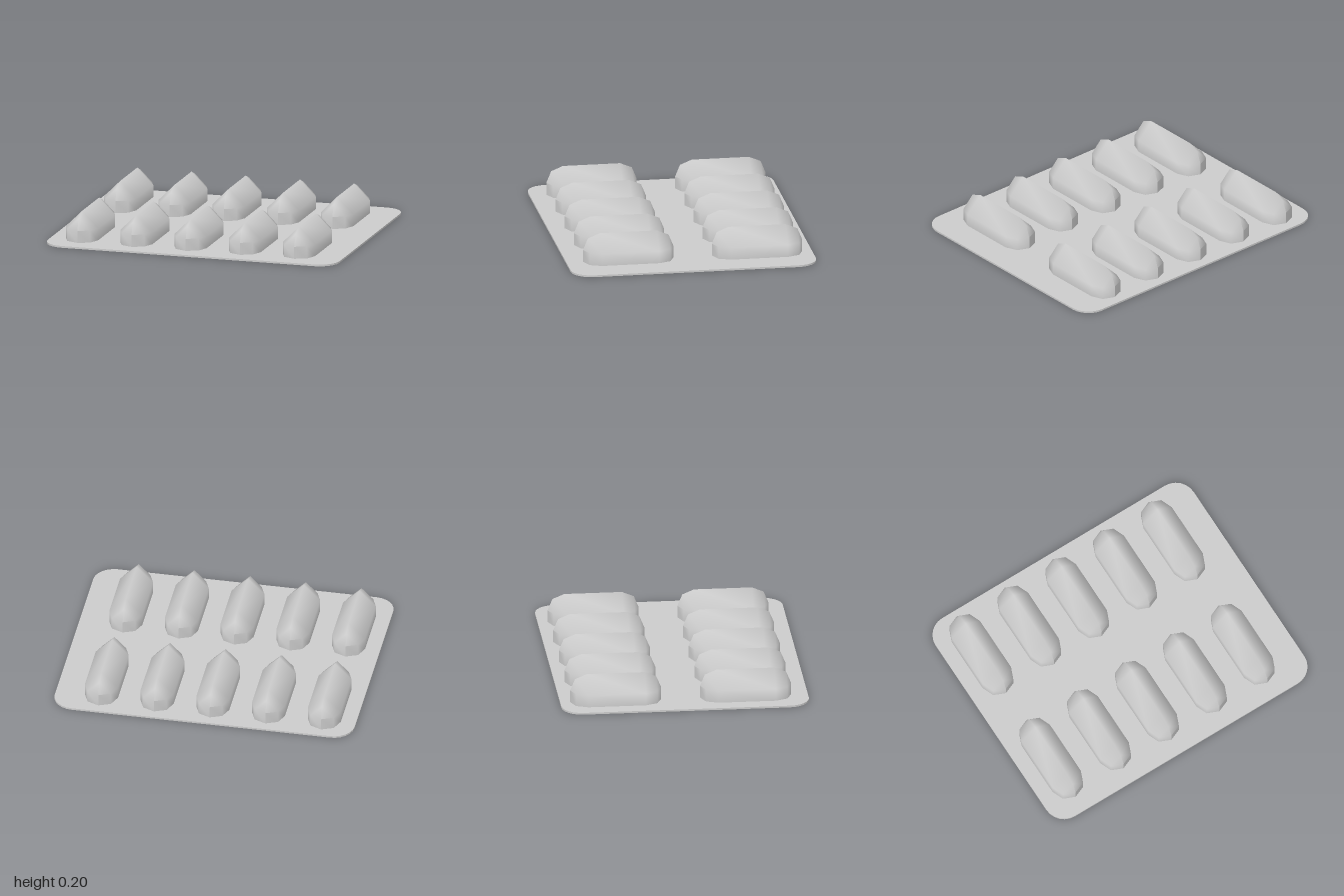
import * as THREE from 'three';

const material = new THREE.MeshStandardMaterial({ color: 0xcccccc, side: THREE.DoubleSide });

// Thin card with rounded corners, lying flat on the ground
function createBacking(halfX, halfZ, radius, thickness) {
  const shape = new THREE.Shape();
  const x = halfX - radius, z = halfZ - radius;
  shape.absarc(x, z, radius, 0, Math.PI / 2);
  shape.absarc(-x, z, radius, Math.PI / 2, Math.PI);
  shape.absarc(-x, -z, radius, Math.PI, Math.PI * 1.5);
  shape.absarc(x, -z, radius, Math.PI * 1.5, Math.PI * 2);
  shape.closePath();
  const geometry = new THREE.ExtrudeGeometry(shape, { depth: thickness, bevelEnabled: false, curveSegments: 3 });
  geometry.rotateX(-Math.PI / 2);
  return geometry;
}

// Long blister: upright walls and a ridged roof, tapering at both ends
function createBlisterGeometry(halfStraight, radius, base, shoulder) {
  const positions = [], indices = [];
  const ends = [Math.PI / 2, Math.PI / 4, 0];
  const rings = [
    ...ends.map(a => [-halfStraight - radius * Math.sin(a), radius * Math.cos(a)]),
    ...ends.reverse().map(a => [halfStraight + radius * Math.sin(a), radius * Math.cos(a)]),
  ];
  for (const [z, r] of rings) {
    positions.push(-r, base, z, -r, shoulder, z, 0, shoulder + r, z, r, shoulder, z, r, base, z);
  }
  for (let j = 0; j < rings.length - 1; j++) {
    for (let i = 0; i < 4; i++) {
      const a = j * 5 + i, b = a + 1, c = a + 5, d = c + 1;
      indices.push(a, c, b, b, c, d);
    }
  }
  const geometry = new THREE.BufferGeometry();
  geometry.setAttribute('position', new THREE.Float32BufferAttribute(positions, 3));
  geometry.setIndex(indices);
  geometry.computeVertexNormals();
  return geometry;
}

export function createModel() {
  const group = new THREE.Group();
  group.name = 'blisterPack';

  const backing = new THREE.Mesh(createBacking(1, 0.815, 0.137, 0.012), material);
  backing.name = 'backing';
  group.add(backing);

  // Two rows of five blisters
  const blisterGeometry = createBlisterGeometry(0.19, 0.11, 0.008, 0.093);
  [['back', -0.45], ['front', 0.405]].forEach(([row, z]) => {
    for (let i = 0; i < 5; i++) {
      const blister = new THREE.Mesh(blisterGeometry, material);
      blister.name = `${row}Blister${i + 1}`;
      blister.position.set(-0.79 + i * 0.3715, 0, z);
      group.add(blister);
    }
  });
  return group;
}
